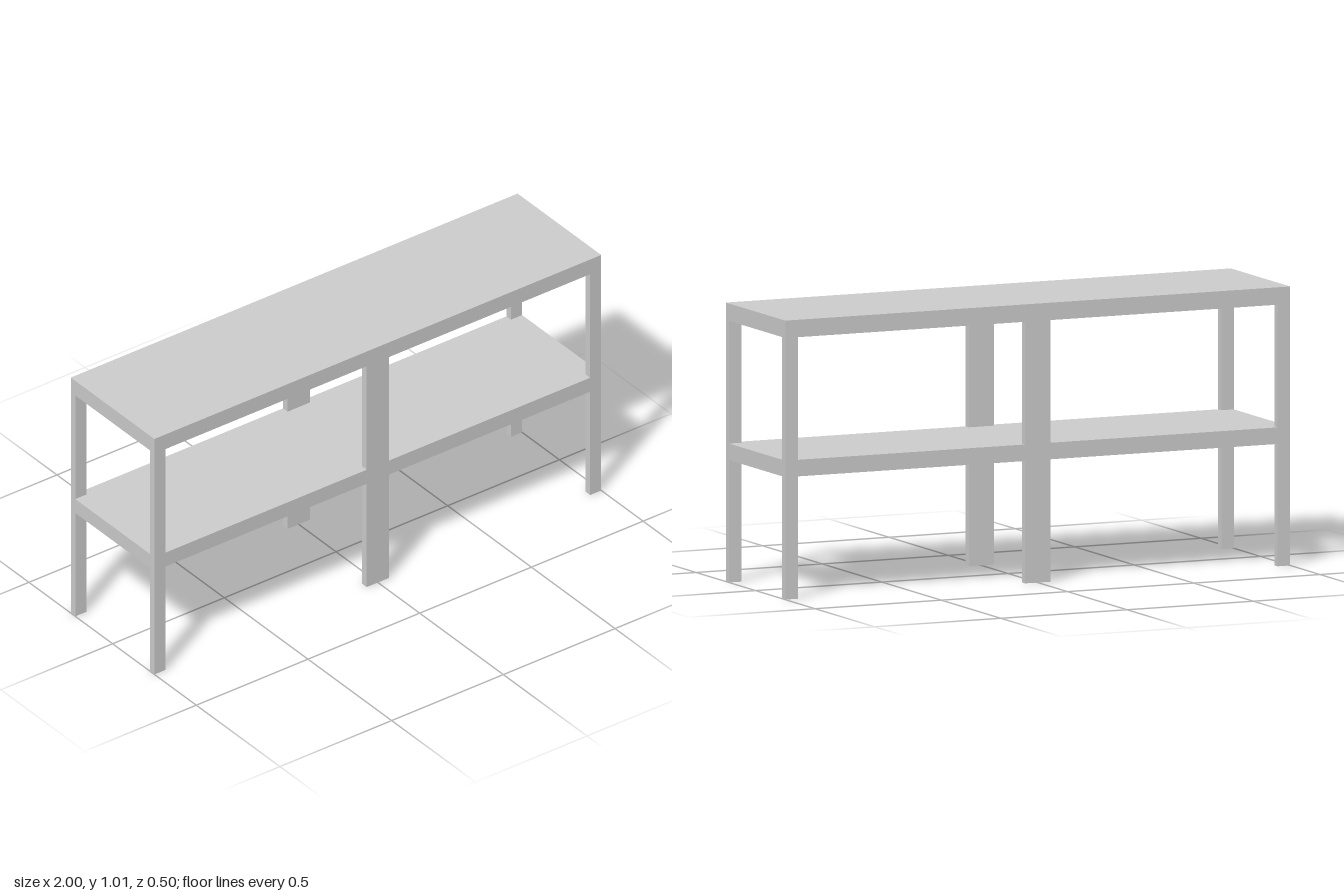
import * as THREE from 'three';

const WIDTH = 2, DEPTH = 0.5;
const POST_DEPTH = 0.027;

// Bottom and top heights of the two solid shelves
const LOWER = [0.443, 0.503];
const UPPER = [0.947, 1.01];

export function createModel() {
  const group = new THREE.Group();
  const material = new THREE.MeshStandardMaterial({ color: 0xcccccc, flatShading: true });

  // Box standing between two heights
  function addBox(name, x, z, w, d, [bottom, top]) {
    const mesh = new THREE.Mesh(new THREE.BoxGeometry(w, top - bottom, d), material);
    mesh.name = name;
    mesh.position.set(x, (bottom + top) / 2, z);
    group.add(mesh);
  }

  // Shelves
  addBox('lowerShelf', 0, 0, WIDTH, DEPTH, LOWER);
  addBox('topShelf', 0, 0, WIDTH, DEPTH, UPPER);

  // Narrow corner posts and wide middle posts, flush with the shelf edges
  const columns = [
    { label: 'Right', x: -0.975, w: 0.05 },
    { label: 'Middle', x: 0, w: 0.1 },
    { label: 'Left', x: 0.975, w: 0.05 },
  ];
  for (const [side, sign] of [['front', 1], ['back', -1]]) {
    const z = sign * (DEPTH - POST_DEPTH) / 2;
    for (const { label, x, w } of columns) {
      addBox(`${side}${label}Leg`, x, z, w, POST_DEPTH, [0, LOWER[0]]);
      addBox(`${side}${label}Post`, x, z, w, POST_DEPTH, [LOWER[1], UPPER[0]]);
    }
  }

  return group;
}
